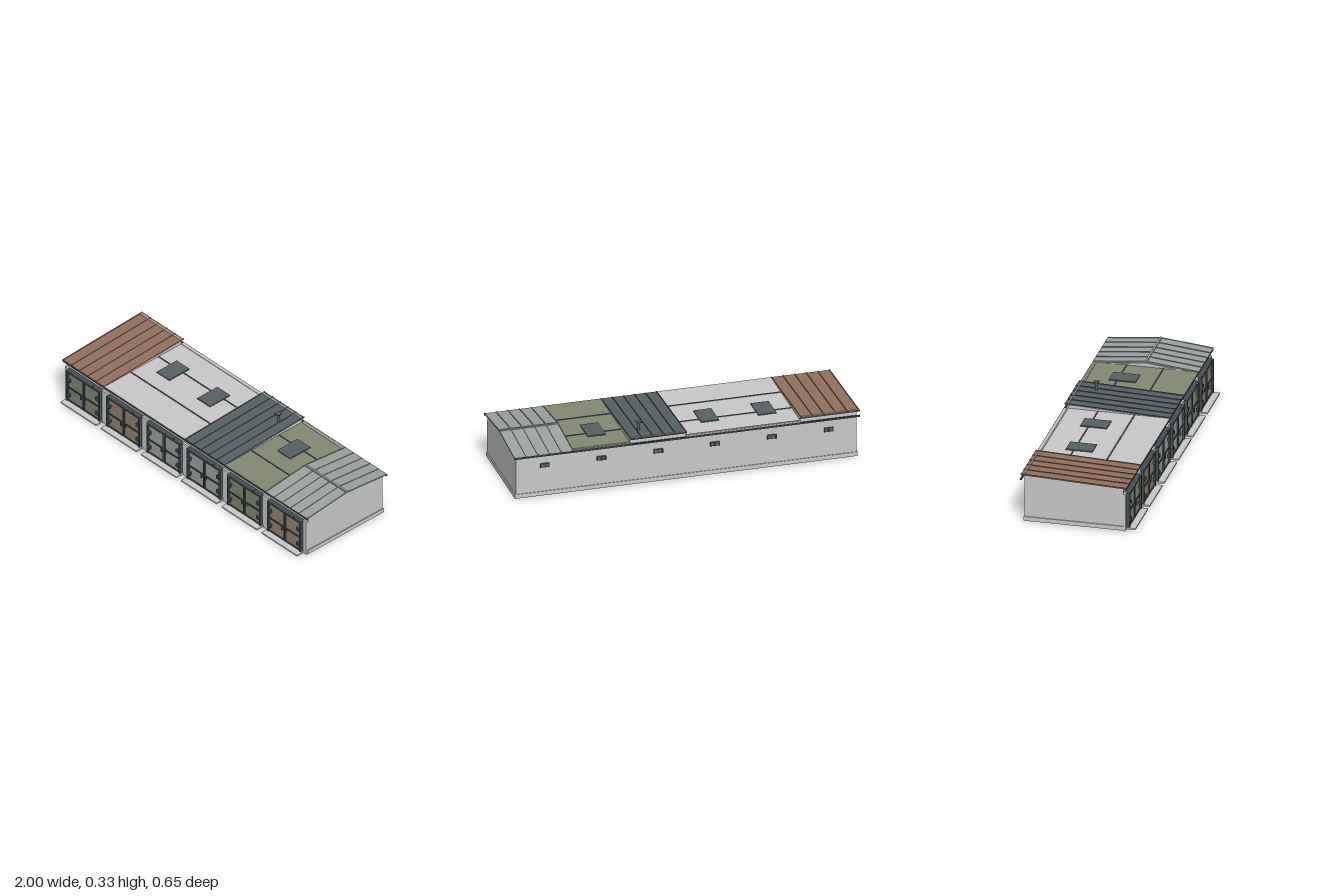
import * as THREE from 'three';

const mat = (name, color) => {
  const m = new THREE.MeshStandardMaterial({ color });
  m.name = name;
  return m;
};

export function createModel() {
  const root = new THREE.Group();
  root.name = 'garageRow';
  const M = {
    wall: mat('pale concrete', 0xc8c8c8),
    slate: mat('slate metal', 0x566064),
    frame: mat('dark frame', 0x434e52),
    rust: mat('rust roof', 0x92705c),
    olive: mat('olive paint', 0x828870),
    brown: mat('brown door', 0x938172),
    grey: mat('grey green paint', 0x9aa29f),
  };

  // Box given by its limits on each axis
  const box = (parent, name, material, x0, x1, y0, y1, z0, z1) => {
    const mesh = new THREE.Mesh(new THREE.BoxGeometry(x1 - x0, y1 - y0, z1 - z0), material);
    mesh.position.set((x0 + x1) / 2, (y0 + y1) / 2, (z0 + z1) / 2);
    mesh.name = name;
    parent.add(mesh);
    return mesh;
  };

  // Side profile of [z, y] points, listed front to back over the top, extruded along x
  const profile = (parent, name, material, pts, x0, x1) => {
    const shape = new THREE.Shape(pts.map(([z, y]) => new THREE.Vector2(-z, y)));
    const geo = new THREE.ExtrudeGeometry(shape, { depth: x1 - x0, bevelEnabled: false });
    geo.rotateY(Math.PI / 2);
    geo.translate(x0, 0, 0);
    const mesh = new THREE.Mesh(geo, material);
    mesh.name = name;
    parent.add(mesh);
    return mesh;
  };

  // Strip of given thickness lying on a line of [z, y] points
  const strip = (parent, name, material, line, t, x0, x1) =>
    profile(parent, name, material,
      [...line, ...line.slice().reverse().map(([z, y]) => [z, y + t])], x0, x1);

  const FRONT = 0.28, BACK = -0.322, RIDGE = -0.02;
  const edges = [-1, -0.66, -0.33, 0, 0.325, 0.657, 1];
  const lines = {
    flat: [[FRONT, 0.26], [BACK, 0.26]],
    shed: [[FRONT, 0.26], [BACK, 0.284]],
    gable: [[FRONT, 0.259], [RIDGE, 0.29], [BACK, 0.259]],
  };
  const wallTops = {
    flat: [[0.262, 0.26], [-0.303, 0.26]],
    shed: [[0.262, 0.26], [-0.303, 0.283]],
    gable: [[0.262, 0.25], [RIDGE, 0.288], [-0.303, 0.25]],
  };
  const bays = [
    { roof: 'shed', cover: M.rust, door: M.olive },
    { roof: 'flat', cover: M.wall, door: M.brown, skylight: -0.507 },
    { roof: 'flat', cover: M.wall, door: M.grey, skylight: -0.175 },
    { roof: 'shed', cover: M.slate, door: M.grey },
    { roof: 'flat', cover: M.olive, door: M.olive, skylight: 0.48 },
    { roof: 'gable', cover: M.grey, door: M.brown },
  ];

  // Pair of door leaves with frame, rails, hinges and handles
  const makeDoor = (parent, cx, paint) => {
    const door = new THREE.Group();
    door.name = 'garageDoor';
    door.position.x = cx;
    parent.add(door);
    box(door, 'frameTop', M.frame, -0.137, 0.137, 0.208, 0.22, 0.26, 0.293);
    box(door, 'frameSill', M.frame, -0.137, 0.137, 0.013, 0.02, 0.26, 0.288);
    box(door, 'lampHook', M.frame, 0.076, 0.084, 0.22, 0.229, 0.289, 0.293);
    for (const s of [-1, 1]) {
      const b = (name, m, a, c, ...rest) =>
        box(door, name, m, Math.min(s * a, s * c), Math.max(s * a, s * c), ...rest);
      b('frameSide', M.frame, 0.125, 0.137, 0.013, 0.22, 0.26, 0.293);
      b('leaf', paint, 0.002, 0.125, 0.016, 0.21, 0.262, 0.283);
      b('leafStile', M.frame, 0.0015, 0.007, 0.018, 0.21, 0.28, 0.29);
      b('leafRail', M.frame, 0.006, 0.126, 0.101, 0.109, 0.28, 0.288);
      b('handle', M.frame, 0.012, 0.018, 0.085, 0.11, 0.285, 0.297);
      for (const y of [0.06, 0.16]) {
        b('hinge', M.frame, 0.106, 0.13, y - 0.01, y + 0.01, 0.28, 0.297);
      }
    }
  };

  bays.forEach((bay, i) => {
    const g = new THREE.Group();
    g.name = 'bay' + (i + 1);
    root.add(g);
    const x0 = edges[i], x1 = edges[i + 1];
    const cx = (i - 2.5) * 0.3285 - 0.001;
    const line = lines[bay.roof];

    // Walls and roof
    profile(g, 'walls', M.wall,
      [[0.262, 0.006], ...wallTops[bay.roof], [-0.303, 0.006]].reverse(),
      i === 0 ? -0.985 : x0, i === 5 ? 0.985 : x1);
    strip(g, 'roofSheet', bay.cover, line, 0.004, x0, x1);

    if (bay.roof === 'flat') {
      for (const z of [-0.13, 0.08]) {
        box(g, 'roofSeam', M.frame, x0 + 0.002, x1 - 0.002, 0.262, 0.267, z - 0.004, z + 0.004);
      }
      box(g, 'skylight', M.slate, bay.skylight - 0.052, bay.skylight + 0.052, 0.262, 0.27, -0.175, -0.022);
    } else {
      // Standing seams running down the slope
      for (let k = 0; k <= 5; k++) {
        const x = x0 + 0.002 + (x1 - x0 - 0.004) * k / 5;
        strip(g, 'standingSeam', bay.cover, line, 0.008, x - 0.002, x + 0.002);
      }
    }
    if (bay.roof === 'gable') {
      box(g, 'ridgeCap', M.grey, x0, x1, 0.291, 0.3, RIDGE - 0.006, RIDGE + 0.006);
    } else {
      const y = bay.roof === 'shed' ? 0.284 : 0.261;
      box(g, 'snowGuard', M.wall, x0, x1, y, y + 0.007, -0.307, -0.3);
    }

    // Door with pilasters and apron
    makeDoor(g, cx, bay.door);
    for (const s of [-1, 1]) {
      const x = cx + s * 0.151;
      box(g, 'pilaster', M.wall, x - 0.0135, x + 0.0135, 0, 0.223, 0.258, 0.275);
    }
    box(g, 'apron', M.wall, cx - 0.145, cx + 0.145, 0.005, 0.014, 0.26, 0.327);

    // Rear vent with divider
    box(g, 'rearVent', M.slate, cx - 0.026, cx + 0.026, 0.179, 0.202, -0.312, -0.3);
    for (const dx of [-0.024, 0, 0.024]) {
      box(g, 'ventSlat', M.frame, cx + dx - 0.003, cx + dx + 0.003, 0.179, 0.202, -0.317, -0.31);
    }
  });

  // Plinth and gutters along the whole row
  box(root, 'plinth', M.wall, -0.991, 0.991, 0.005, 0.03, -0.307, 0.267);
  box(root, 'frontGutter', M.frame, -1, 1, 0.253, 0.262, 0.273, 0.282);
  box(root, 'backGutter', M.frame, -1, 1, 0.253, 0.262, -0.326, -0.317);

  // Chimney
  const pipe = new THREE.Mesh(new THREE.CylinderGeometry(0.009, 0.009, 0.06, 12), M.slate);
  pipe.name = 'chimneyPipe';
  pipe.position.set(0.245, 0.3, -0.2);
  root.add(pipe);
  box(root, 'chimneyCap', M.slate, 0.23, 0.26, 0.329, 0.334, -0.215, -0.185);

  return root;
}
